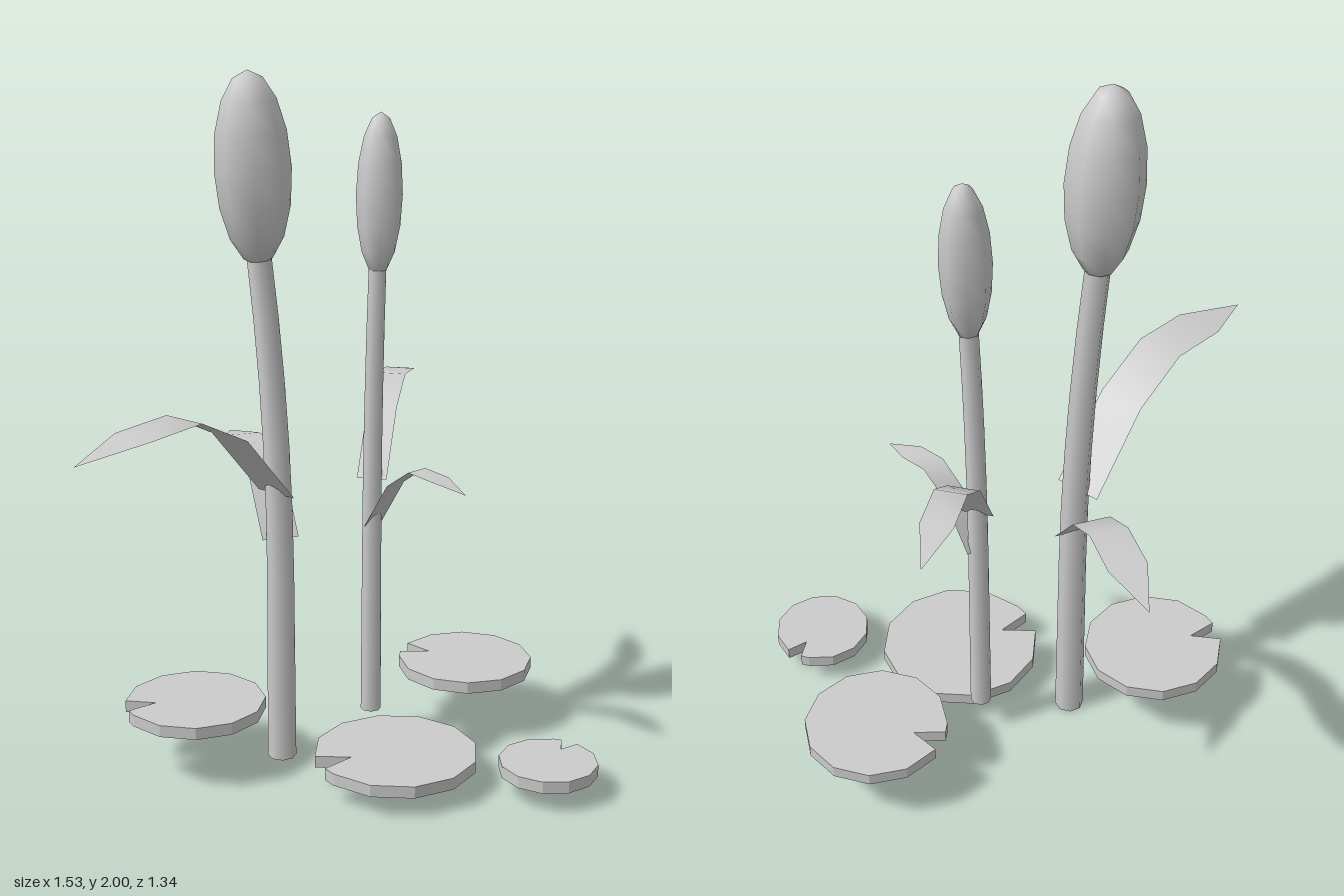
import * as THREE from 'three';

const material = new THREE.MeshStandardMaterial({ color: 0xcccccc, side: THREE.DoubleSide });

function addMesh(parent, name, geometry) {
  const mesh = new THREE.Mesh(geometry, material);
  mesh.name = name;
  parent.add(mesh);
  return mesh;
}

// Tapered stalk, straight at the foot and bending sideways above bendY
function stalkGeometry({ x, z, y0, y1, rBottom, rTop, bendY, dx, dz }) {
  const g = new THREE.CylinderGeometry(rTop, rBottom, y1 - y0, 8, 8);
  g.translate(x, (y0 + y1) / 2, z);
  const p = g.attributes.position;
  for (let i = 0; i < p.count; i++) {
    const t = Math.max(0, (p.getY(i) - bendY) / (y1 - bendY)) ** 2;
    p.setX(i, p.getX(i) + dx * t);
    p.setZ(i, p.getZ(i) + dz * t);
  }
  return g;
}

// Arched strip running along +x: station, height and half-width as fractions
const LEAF = [
  [0, 0, 0.5], [0.25, 0.71, 0.5], [0.48, 1, 0.5], [0.73, 0.96, 0.5], [1, 0.84, 0],
];
function leafGeometry(length, width, rise) {
  const positions = [], index = [];
  LEAF.forEach(([s, h, w], i) => {
    positions.push(s * length, h * rise, -w * width, s * length, h * rise, w * width);
    const a = i * 2;
    if (i < LEAF.length - 2) index.push(a, a + 1, a + 2, a + 1, a + 3, a + 2);
    else if (i === LEAF.length - 2) index.push(a, a + 1, a + 2);
  });
  const g = new THREE.BufferGeometry();
  g.setAttribute('position', new THREE.Float32BufferAttribute(positions, 3));
  g.setIndex(index);
  g.computeVertexNormals();
  return g;
}

// Twelve-sided disc with a wedge notch just before the start angle
function padGeometry(radius, startDegrees) {
  const point = (deg, r) => {
    const a = THREE.MathUtils.degToRad(deg);
    return new THREE.Vector2(r * Math.cos(a), r * Math.sin(a));
  };
  const points = [];
  for (let k = 0; k < 12; k++) points.push(point(startDegrees + 30 * k, radius));
  points.push(point(startDegrees - 20, radius), point(startDegrees - 10, radius * 0.58));
  const g = new THREE.ExtrudeGeometry(new THREE.Shape(points), { depth: 0.035, bevelEnabled: false });
  return g.rotateX(Math.PI / 2);
}

const PLANTS = [
  {
    name: 'tallReed',
    stalk: { x: -0.005, z: -0.197, y0: 0, y1: 1.52, rBottom: 0.042, rTop: 0.034, bendY: 0.55, dx: -0.078, dz: 0 },
    head: { at: [-0.1, 1.738, -0.197], r: 0.104, half: 0.262, tilt: [0, 0, 0.07] },
    leaves: [
      { name: 'leftLeaf', root: [-0.02, 0.815, -0.197], tip: [-0.762, -0.197], width: 0.136, rise: 0.29 },
      { name: 'backLeaf', root: [0, 0.675, -0.2], tip: [0.283, -0.672], width: 0.108, rise: 0.215 },
    ],
  },
  {
    name: 'shortReed',
    stalk: { x: 0.236, z: -0.056, y0: 0.11, y1: 1.45, rBottom: 0.03, rTop: 0.025, bendY: 0.65, dx: 0.048, dz: -0.024 },
    head: { at: [0.293, 1.642, -0.083], r: 0.066, half: 0.228, tilt: [-0.03, 0, -0.06] },
    leaves: [
      { name: 'rightLeaf', root: [0.245, 0.825, -0.065], tip: [0.688, -0.279], width: 0.088, rise: 0.26 },
      { name: 'frontLeaf', root: [0.24, 0.69, -0.055], tip: [0.205, 0.303], width: 0.07, rise: 0.2 },
    ],
  },
];

// x, top height, z, radius, notch start angle
const PADS = [
  [-0.203, 0.2, -0.355, 0.204, 225],
  [0.086, 0.095, 0.162, 0.236, 218.5],
  [0.564, 0.2, 0.05, 0.203, 261],
  [0.316, 0.095, 0.53, 0.141, 2],
];

export function createModel() {
  const model = new THREE.Group();
  model.name = 'pondPlants';

  // Reeds: stalk, seed head and two leaves each
  for (const { name, stalk, head, leaves } of PLANTS) {
    const plant = new THREE.Group();
    plant.name = name;
    model.add(plant);
    addMesh(plant, 'stalk', stalkGeometry(stalk));
    const bulb = addMesh(plant, 'seedHead', new THREE.SphereGeometry(1, 8, 8).scale(head.r, head.half, head.r));
    bulb.position.set(...head.at);
    bulb.rotation.set(...head.tilt);
    for (const { name: leafName, root, tip, width, rise } of leaves) {
      const dx = tip[0] - root[0], dz = tip[1] - root[2];
      const leaf = addMesh(plant, leafName, leafGeometry(Math.hypot(dx, dz), width, rise));
      leaf.position.set(...root);
      leaf.rotation.y = Math.atan2(-dz, dx);
    }
  }

  // Floating lily pads
  for (const [x, y, z, radius, start] of PADS) {
    addMesh(model, 'lilyPad', padGeometry(radius, start)).position.set(x, y, z);
  }
  return model;
}
